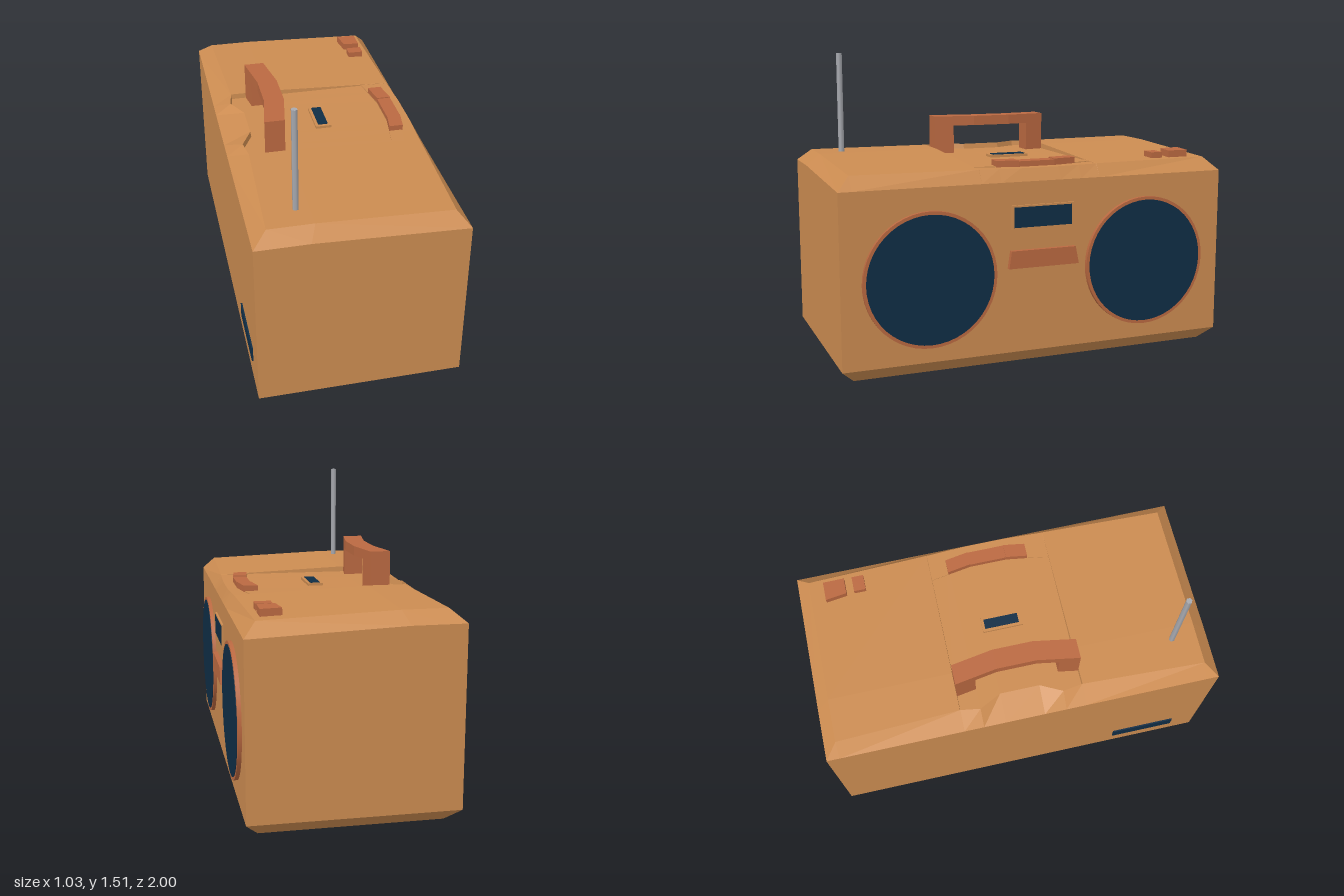
import * as THREE from 'three';

const mat = (name, color) => Object.assign(new THREE.MeshStandardMaterial({ color }), { name });

// Joins cross-sections (lists of [x, y], clockwise seen from +z) along rising z, with end caps.
function loft(sections) {
  const pos = [];
  const tri = (...pts) => pts.forEach((p) => pos.push(...p));
  const rings = sections.map(({ z, pts }) => pts.map(([x, y]) => [x, y, z]));
  const n = rings[0].length;
  for (let k = 0; k < rings.length - 1; k++) {
    for (let i = 0; i < n; i++) {
      const j = (i + 1) % n;
      const a = rings[k][i], b = rings[k + 1][i], c = rings[k + 1][j], d = rings[k][j];
      tri(a, b, c);
      tri(a, c, d);
    }
  }
  const first = rings[0], last = rings[rings.length - 1];
  for (let i = 1; i < n - 1; i++) {
    tri(first[0], first[i], first[i + 1]);
    tri(last[0], last[i + 1], last[i]);
  }
  const geo = new THREE.BufferGeometry();
  geo.setAttribute('position', new THREE.Float32BufferAttribute(pos, 3));
  geo.computeVertexNormals();
  return geo;
}

// Sideways bend shared by the handle, the key row and its tray.
const bend = (z) => -0.165 * Math.max(0, Math.abs(z) - 0.1);

// A rectangular bar that follows the bend.
function bentBar(x0, x1, y0, y1, zs) {
  return loft(zs.map((z) => {
    const b = bend(z);
    return { z, pts: [[x0 + b, y0], [x0 + b, y1], [x1 + b, y1], [x1 + b, y0]] };
  }));
}

function bodyGeometry() {
  const FLOOR = 0.973;
  const end = (z) => ({
    z,
    pts: [[-0.51, 0.065], [-0.51, 0.065], [-0.51, 0.94], [-0.51, 0.94], [-0.42, 0.94],
      [-0.25, 0.94], [0.49, 0.91], [0.49, 0.91], [0.49, 0.065], [0.49, 0.065]],
  });
  const slice = (z, lip, right, yRight, recessed) => ({
    z,
    pts: [[-0.44, 0], [-0.51, 0.065], [-0.51, 0.94], [lip, 1], [lip + 0.005, recessed ? FLOOR : 1],
      [-0.22, recessed ? FLOOR : 1], [right, yRight], [0.49, 0.91], [0.49, 0.065], [0.43, 0]],
  });
  // half of the body from the centre outwards; the middle is a shallow recess
  const half = [
    slice(0.1, -0.375, 0.46, 0.971, true),
    slice(0.21, -0.43, 0.455, 0.972, true),
    slice(0.309, -0.415, 0.45, 0.973, true),
    slice(0.311, -0.415, 0.45, 0.974, false),
    slice(0.935, -0.44, 0.43, 0.976, false),
    end(1),
  ];
  const mirrored = half.map((s) => ({ z: -s.z, pts: s.pts })).reverse();
  return loft([...mirrored, ...half]);
}

export function createModel() {
  const tan = mat('tan casing', 0xcc8c51);
  const clay = mat('terracotta trim', 0xbb6941);
  const navy = mat('dark navy', 0x0f2d46);
  const steel = mat('antenna grey', 0xa8aab0);

  const model = new THREE.Group();
  model.name = 'radio';
  const add = (name, geo, material, x = 0, y = 0, z = 0, parent = model) => {
    const mesh = new THREE.Mesh(geo, material);
    mesh.name = name;
    mesh.position.set(x, y, z);
    parent.add(mesh);
    return mesh;
  };
  const box = (name, material, w, h, d, x, y, z) =>
    add(name, new THREE.BoxGeometry(w, h, d), material, x, y, z);

  add('casing', bodyGeometry(), tan);

  // Carrying handle: bent grip and two legs
  const handle = new THREE.Group();
  handle.name = 'handle';
  model.add(handle);
  add('grip', bentBar(-0.3, -0.2, 1.12, 1.17, [-0.31, -0.1, 0.1, 0.31]), clay, 0, 0, 0, handle);
  for (const zs of [[-0.31, -0.21], [0.21, 0.31]]) {
    add('handleLeg', bentBar(-0.3, -0.2, 0.965, 1.12, zs), clay, 0, 0, 0, handle);
  }

  // Key row on the deck with its shallow tray
  add('keyTray', bentBar(0.34, 0.405, 0.965, 0.976, [-0.31, -0.1, 0.1, 0.31]), tan);
  for (const zs of [[-0.22, -0.1], [-0.1, 0.09], [0.09, 0.2]]) {
    add('deckKey', bentBar(0.34, 0.41, 0.965, zs[0] === -0.1 ? 0.998 : 1.003, zs), clay);
  }

  // Two loose buttons near the back corner
  const wedge = (z, x) => ({ z, pts: [[x, 0.965], [x, 1.015], [0.4, 1.012], [0.4, 0.965]] });
  add('largeButton', loft([wedge(-0.86, 0.3), wedge(-0.752, 0.315)]), clay);
  box('smallButton', clay, 0.08, 0.04, 0.06, 0.36, 0.987, -0.682);

  // Small window in the deck
  box('deckWindowFrame', tan, 0.08, 0.02, 0.205, 0.005, 0.975, -0.008);
  box('deckWindow', navy, 0.05, 0.006, 0.175, 0.005, 0.985, -0.01);

  // Speakers on the broad side
  for (const z of [-0.565, 0.57]) {
    const rim = add('speakerRim', new THREE.CylinderGeometry(0.33, 0.33, 0.022, 48), clay, 0.498, 0.47, z);
    const grille = add('speakerGrille', new THREE.CylinderGeometry(0.314, 0.314, 0.006, 48), navy, 0.508, 0.47, z);
    rim.rotation.z = grille.rotation.z = -Math.PI / 2;
  }

  // Display and the slanted control bar between the speakers
  box('displayFrame', tan, 0.02, 0.118, 0.325, 0.49, 0.738, -0.003);
  box('display', navy, 0.006, 0.1, 0.305, 0.499, 0.738, -0.003);
  const bar = new THREE.Shape([[-0.18, 0.49], [0.19, 0.49], [0.172, 0.577], [-0.167, 0.577]]
    .map(([x, y]) => new THREE.Vector2(x, y)));
  const control = add('controlBar', new THREE.ExtrudeGeometry(bar, { depth: 0.03, bevelEnabled: false }), clay, 0.484);
  control.rotation.y = Math.PI / 2;

  // Dark plate low on the opposite side
  box('rearPlate', navy, 0.009, 0.08, 0.34, -0.513, 0.22, 0.692);

  // Antenna
  add('antenna', new THREE.CylinderGeometry(0.015, 0.015, 0.52, 6), steel, -0.283, 1.25, 0.808);

  // Centre the whole radio over the origin
  const wrap = new THREE.Group();
  wrap.name = 'portableRadio';
  wrap.add(model);
  return wrap;
}
